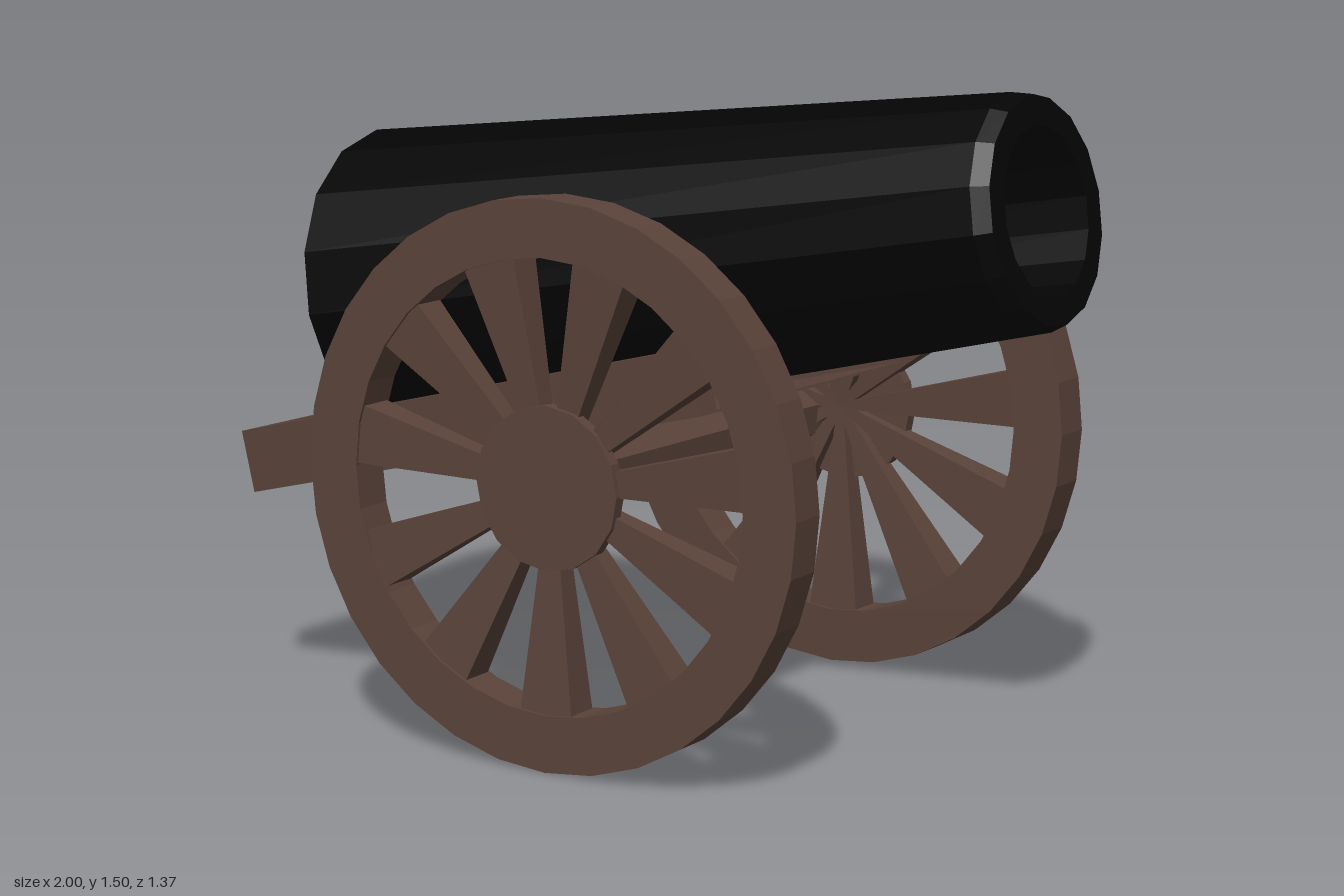
import * as THREE from 'three';

const wood = new THREE.MeshStandardMaterial({ color: 0x5a433a });
wood.name = 'brown wood';
const iron = new THREE.MeshStandardMaterial({ color: 0x040404 });
iron.name = 'black iron';

function add(parent, name, geometry, material, x = 0, y = 0, z = 0) {
  const mesh = new THREE.Mesh(geometry, material);
  mesh.name = name;
  mesh.position.set(x, y, z);
  parent.add(mesh);
  return mesh;
}

// Flat-sided copy of a geometry
function faceted(geometry) {
  const flat = geometry.toNonIndexed();
  flat.computeVertexNormals();
  return flat;
}

// Stand a y-aligned object between two points, its origin at the first
function align(object, from, to) {
  object.position.copy(from);
  object.quaternion.setFromUnitVectors(
    new THREE.Vector3(0, 1, 0), to.clone().sub(from).normalize());
}

// Wedge spoke along +x, thin at the middle of the wheel and thick at the rim
function makeSpokeGeometry() {
  const length = 0.56;
  const spoke = new THREE.BoxGeometry(length, 1, 1).translate(length / 2, 0, 0);
  const p = spoke.attributes.position;
  for (let i = 0; i < p.count; i++) {
    const atRim = p.getX(i) > length / 2;
    p.setY(i, p.getY(i) * (atRim ? 0.148 : 0.016));
    p.setZ(i, p.getZ(i) * (atRim ? 0.09 : 0.03));
  }
  return faceted(spoke);
}

// Spoked wheel with its outer face towards local +z
function makeWheel(name) {
  const wheel = new THREE.Group();
  wheel.name = name;
  const ring = new THREE.Shape().absarc(0, 0, 0.64, 0, Math.PI * 2, false);
  ring.holes.push(new THREE.Path().absarc(0, 0, 0.51, 0, Math.PI * 2, true));
  const rim = new THREE.ExtrudeGeometry(ring, { depth: 0.098, bevelEnabled: false, curveSegments: 16 });
  add(wheel, 'rim', rim, wood, 0, 0, -0.049);

  const spoke = makeSpokeGeometry();
  const count = 11;
  for (let i = 0; i < count; i++) {
    add(wheel, 'spoke', spoke, wood).rotation.z = -Math.PI / 2 + (i / count) * Math.PI * 2;
  }

  // Hub plate on the outer side
  const hub = faceted(new THREE.CylinderGeometry(0.185, 0.185, 0.03, 16));
  add(wheel, 'hub', hub, wood, 0, 0, 0.022).rotation.x = Math.PI / 2;
  return wheel;
}

// Tapered barrel with a blunt conical breech and an open bore
function makeBarrel() {
  const profile = [
    [0, -0.165], [0.065, -0.165], [0.385, 0], [0.267, 1.75],
    [0.253, 1.79], [0.19, 1.79], [0.185, 0.95], [0, 0.95],
  ].map(([r, y]) => new THREE.Vector2(r, y));
  const barrel = new THREE.Mesh(faceted(new THREE.LatheGeometry(profile, 16)), iron);
  barrel.name = 'barrel';
  align(barrel, new THREE.Vector3(-0.805, 0.945, -0.073), new THREE.Vector3(0.955, 1.245, 0.067));
  return barrel;
}

// Tilted tray, open towards the muzzle
function makeBed() {
  const bed = new THREE.Group();
  bed.name = 'carriageBed';
  const length = 1.34, height = 0.15, width = 0.873;
  const box = (name, l, h, w, x, y, z) => add(bed, name, new THREE.BoxGeometry(l, h, w), wood, x, y, z);
  box('floor', length, 0.006, width, 0, -height / 2 + 0.003, 0);
  box('leftRail', length, height, 0.07, 0, 0, width / 2 - 0.035);
  box('rightRail', length, height, 0.035, 0, 0, -width / 2 + 0.0175);
  box('rearWall', 0.08, height, width, -length / 2 + 0.04, 0, 0);
  bed.position.set(-0.288, 0.716, -0.005);
  bed.rotation.set(0, -0.105, 0.243);
  return bed;
}

export function createModel() {
  const model = new THREE.Group();
  model.name = 'cannon';
  model.add(makeBarrel(), makeBed());

  // Six-sided axle
  const start = new THREE.Vector3(-0.09, 0.615, 0.62);
  const end = new THREE.Vector3(0.025, 0.61, -0.632);
  const span = start.distanceTo(end);
  const shaft = faceted(new THREE.CylinderGeometry(0.074, 0.072, span, 6));
  shaft.translate(0, span / 2, 0);
  align(add(model, 'axle', shaft, wood), start, end);

  // Wheels, each slightly skewed
  const frontWheel = makeWheel('frontWheel');
  frontWheel.position.set(0.028, 0.64, 0.603);
  frontWheel.rotation.y = -0.052;
  const backWheel = makeWheel('backWheel');
  backWheel.position.set(0.15, 0.645, -0.573);
  backWheel.rotation.y = Math.PI - 0.105;
  model.add(frontWheel, backWheel);
  return model;
}
